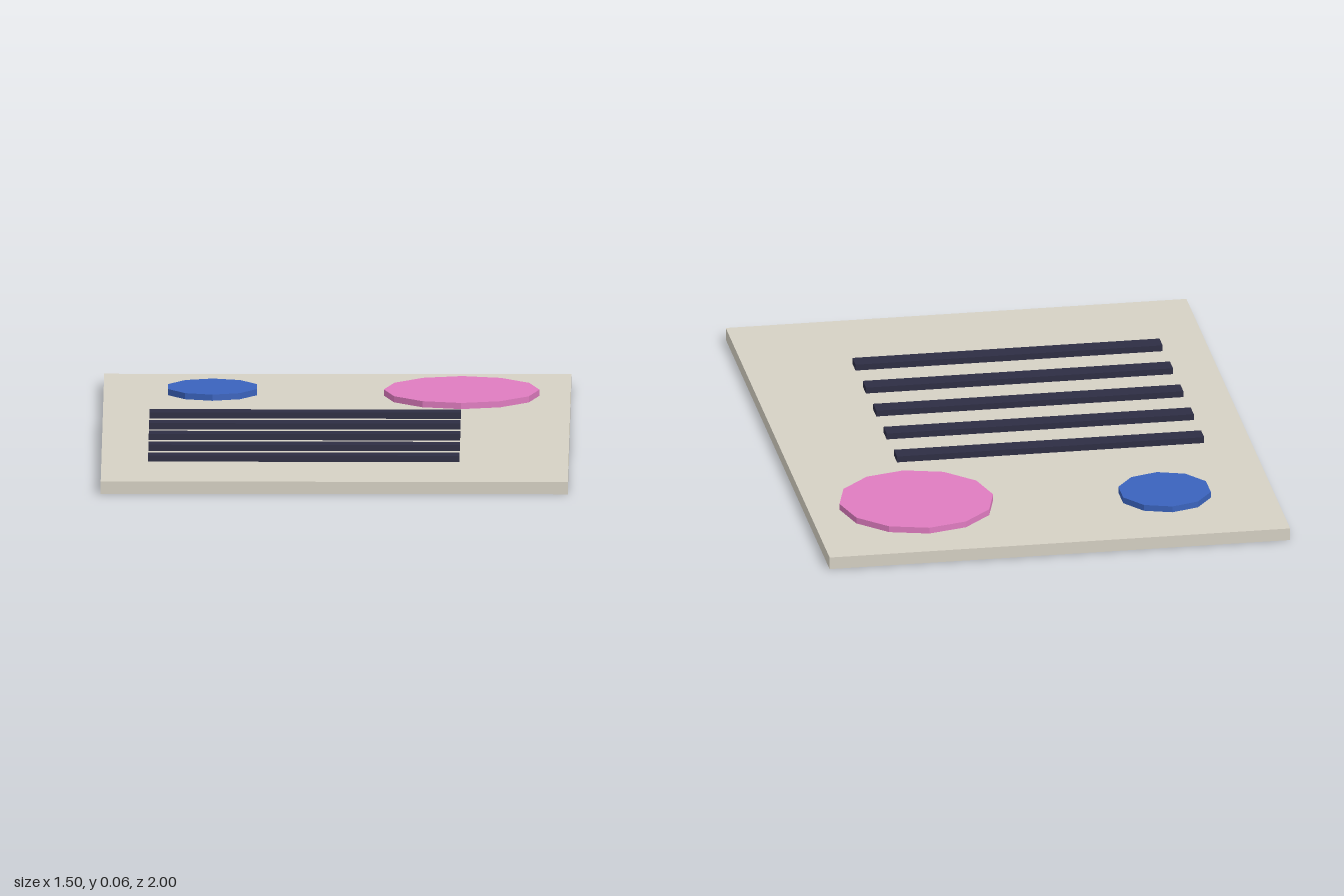
import * as THREE from 'three';

const BASE_HEIGHT = 0.04;
const RELIEF = 0.02;

function part(name, geometry, color, x, y, z) {
  const material = new THREE.MeshStandardMaterial({ color, flatShading: true });
  const mesh = new THREE.Mesh(geometry, material);
  mesh.name = name;
  mesh.position.set(x, y, z);
  return mesh;
}

export function createModel() {
  const model = new THREE.Group();
  model.name = 'reliefPanel';
  const reliefY = BASE_HEIGHT + RELIEF / 2;

  // Flat base slab
  model.add(part('baseSlab', new THREE.BoxGeometry(1.5, BASE_HEIGHT, 2), 0xd6d1c4, 0, BASE_HEIGHT / 2, 0));

  // Five raised bars, like lines on a page
  const barGeometry = new THREE.BoxGeometry(1, RELIEF, 0.06);
  for (let i = 0; i < 5; i++) {
    model.add(part(`bar${i + 1}`, barGeometry, 0x2d2d44, -0.1, reliefY, -0.2 + i * 0.2));
  }

  // Two faceted discs near the back edge
  model.add(part('smallDisc', new THREE.CylinderGeometry(0.15, 0.15, RELIEF, 10), 0x3a63bd, -0.4, reliefY, -0.65));
  model.add(part('largeDisc', new THREE.CylinderGeometry(0.25, 0.25, RELIEF, 12), 0xdf7cc0, 0.4, reliefY, -0.6));

  return model;
}
